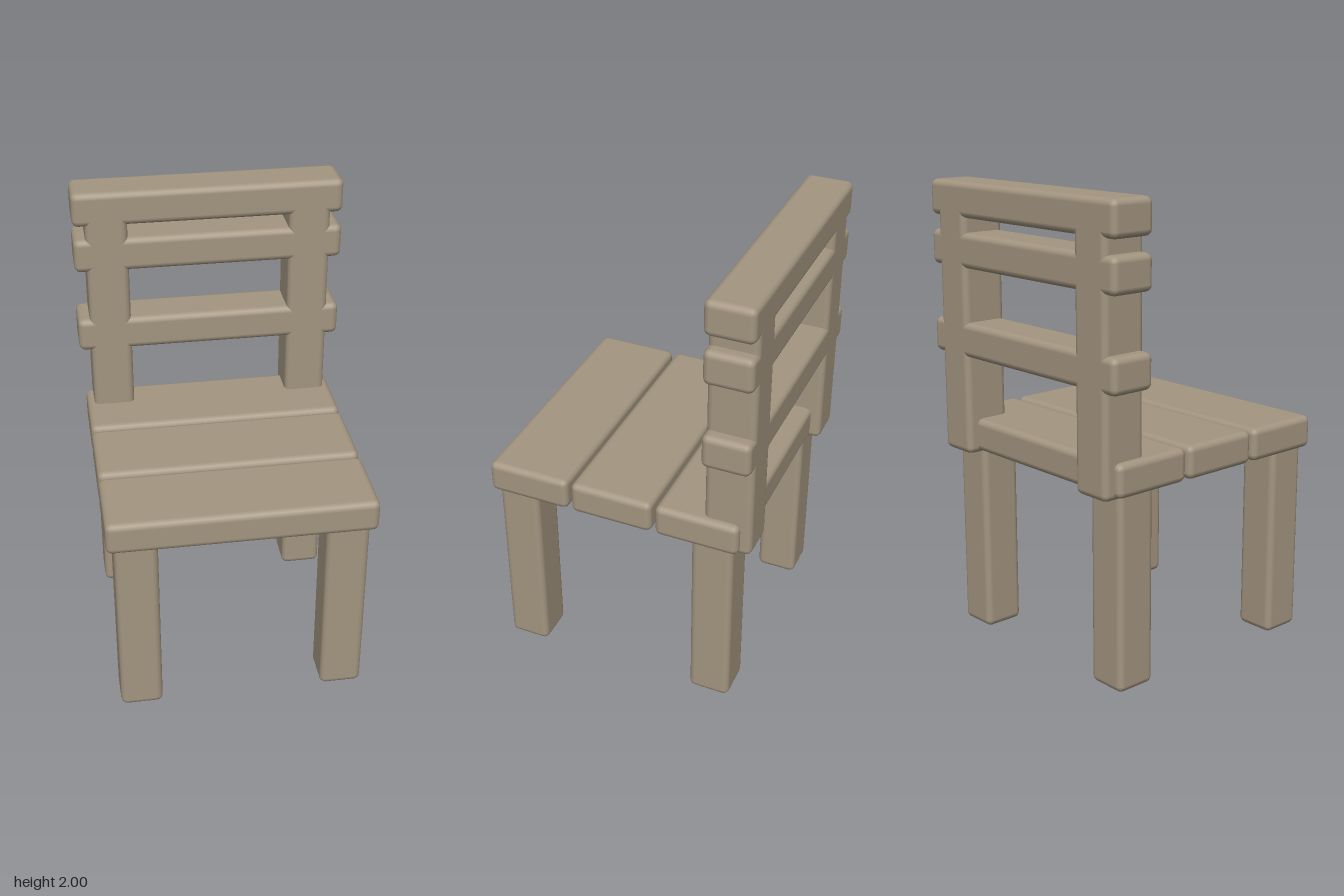
import * as THREE from 'three';
import { RoundedBoxGeometry } from 'three/addons/geometries/RoundedBoxGeometry.js';

export function createModel() {
  const chair = new THREE.Group();
  chair.name = 'chair';
  const wood = new THREE.MeshStandardMaterial({ color: 0xa39580 });

  // Softly bevelled timber spanning the given [min, max] ranges
  function timber(name, [x0, x1], [y0, y1], [z0, z1]) {
    const geometry = new RoundedBoxGeometry(x1 - x0, y1 - y0, z1 - z0, 2, 0.028);
    const mesh = new THREE.Mesh(geometry, wood);
    mesh.name = name;
    mesh.position.set((x0 + x1) / 2, (y0 + y1) / 2, (z0 + z1) / 2);
    chair.add(mesh);
  }

  // Legs and back posts, mirrored left and right
  for (const [side, x] of [['left', [0.352, 0.535]], ['right', [-0.535, -0.352]]]) {
    timber(side + 'FrontLeg', x, [0, 0.9], [0.38, 0.563]);
    timber(side + 'BackLeg', x, [0, 0.9], [-0.508, -0.325]);
    timber(side + 'BackPost', x, [0.83, 1.97], [-0.585, -0.38]);
  }

  // Three seat planks with narrow gaps
  [0.403, 0.023, -0.357].forEach((z, i) =>
    timber('seatPlank' + (i + 1), [-0.567, 0.567], [0.84, 0.983], [z - 0.182, z + 0.182]));

  // Back rails, flush with the posts
  [1.26, 1.64, 1.85].forEach((y, i) =>
    timber('backRail' + (i + 1), [-0.588, 0.588], [y, y + 0.15], [-0.585, -0.38]));

  return chair;
}
